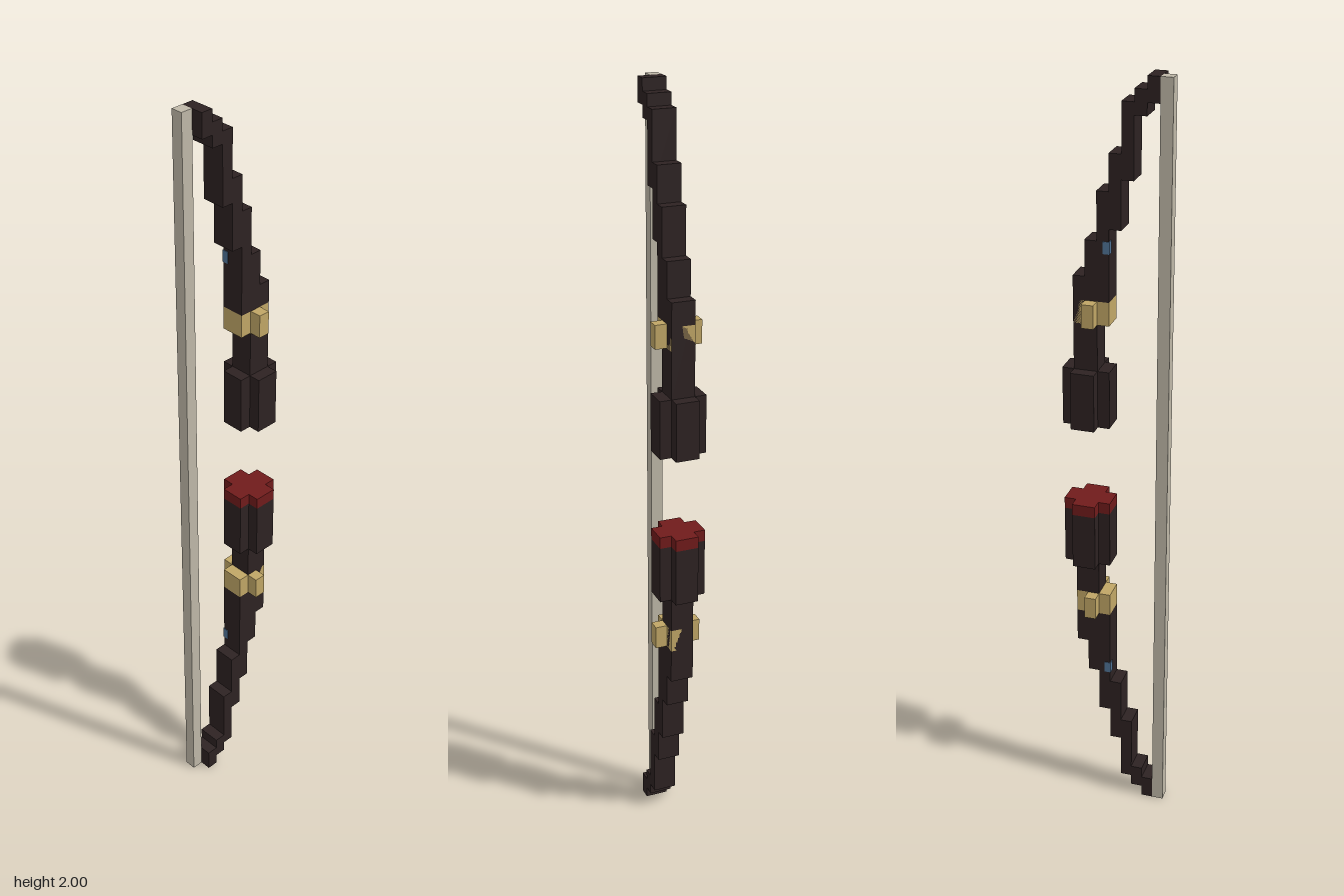
import * as THREE from 'three';

const U = 2 / 66; // one block; the model is 66 blocks tall

export function createModel() {
  const mat = (name, color) => {
    const m = new THREE.MeshStandardMaterial({ color });
    m.name = name;
    return m;
  };
  const wood = mat('dark wood', 0x2d2222);
  const gold = mat('gold', 0xc0a666);
  const cord = mat('pale cord', 0xbfb8a8);
  const red = mat('dark red', 0x701b1b);
  const blue = mat('blue gem', 0x4f7396);

  const bow = new THREE.Group();
  bow.name = 'bow';

  // Box given in blocks: x range, y range, and z range counted back from the front
  const block = (parent, name, material, x0, x1, y0, y1, k0, k1) => {
    const mesh = new THREE.Mesh(
      new THREE.BoxGeometry((x1 - x0) * U, (y1 - y0) * U, (k1 - k0) * U), material);
    mesh.position.set((x0 + x1) / 2 * U, (y0 + y1) / 2 * U, (4.5 - (k0 + k1) / 2) * U);
    mesh.name = name;
    parent.add(mesh);
  };

  // Plus-shaped ring: a wide bar, with narrower bars in front and behind
  const plus = (parent, name, material, y0, y1, k0, k1, w0, w1) => {
    const g = new THREE.Group();
    g.name = name;
    block(g, name + 'Middle', material, -2, 2, y0, y1, w0, w1);
    block(g, name + 'Front', material, -1, 1, y0, y1, k0, w0);
    block(g, name + 'Back', material, -1, 1, y0, y1, w1, k1);
    parent.add(g);
  };

  // Bowstring
  block(bow, 'string', cord, -1, 0, 0, 66, 0, 1);

  // Stepped limbs: each entry is a column's lower and upper height, front to back
  const limb = (name, columns) => {
    const g = new THREE.Group();
    g.name = name;
    columns.forEach(([y0, y1], i) => block(g, 'limbStep', wood, -1, 1, y0, y1, i + 1, i + 2));
    bow.add(g);
  };
  limb('upperLimb', [[64, 66], [63, 65], [58, 64], [54, 60], [48, 57], [42, 53], [42, 50]]);
  limb('lowerLimb', [[0, 2], [1, 3], [2, 8], [6, 12], [9, 18], [13, 24], [16, 24]]);
  block(bow, 'lowerLimbFill', wood, -1, 1, 18, 19, 5, 6);

  // Gold collars
  plus(bow, 'upperCollar', gold, 46, 48, 5, 8, 6, 7);
  plus(bow, 'lowerCollar', gold, 19, 21, 5, 8, 6, 7);

  // Split grip with a red cap on the lower half
  plus(bow, 'upperGrip', wood, 37, 42, 5, 9, 6, 8);
  plus(bow, 'lowerGrip', wood, 24, 29, 5, 9, 6, 8);
  plus(bow, 'lowerGripCap', red, 29, 30, 5, 9, 6, 8);

  // Small gems on the front corner of each limb
  for (const y of [52, 13]) block(bow, 'gem', blue, -1.06, -0.5, y, y + 1, 4.94, 5.5);

  return bow;
}
